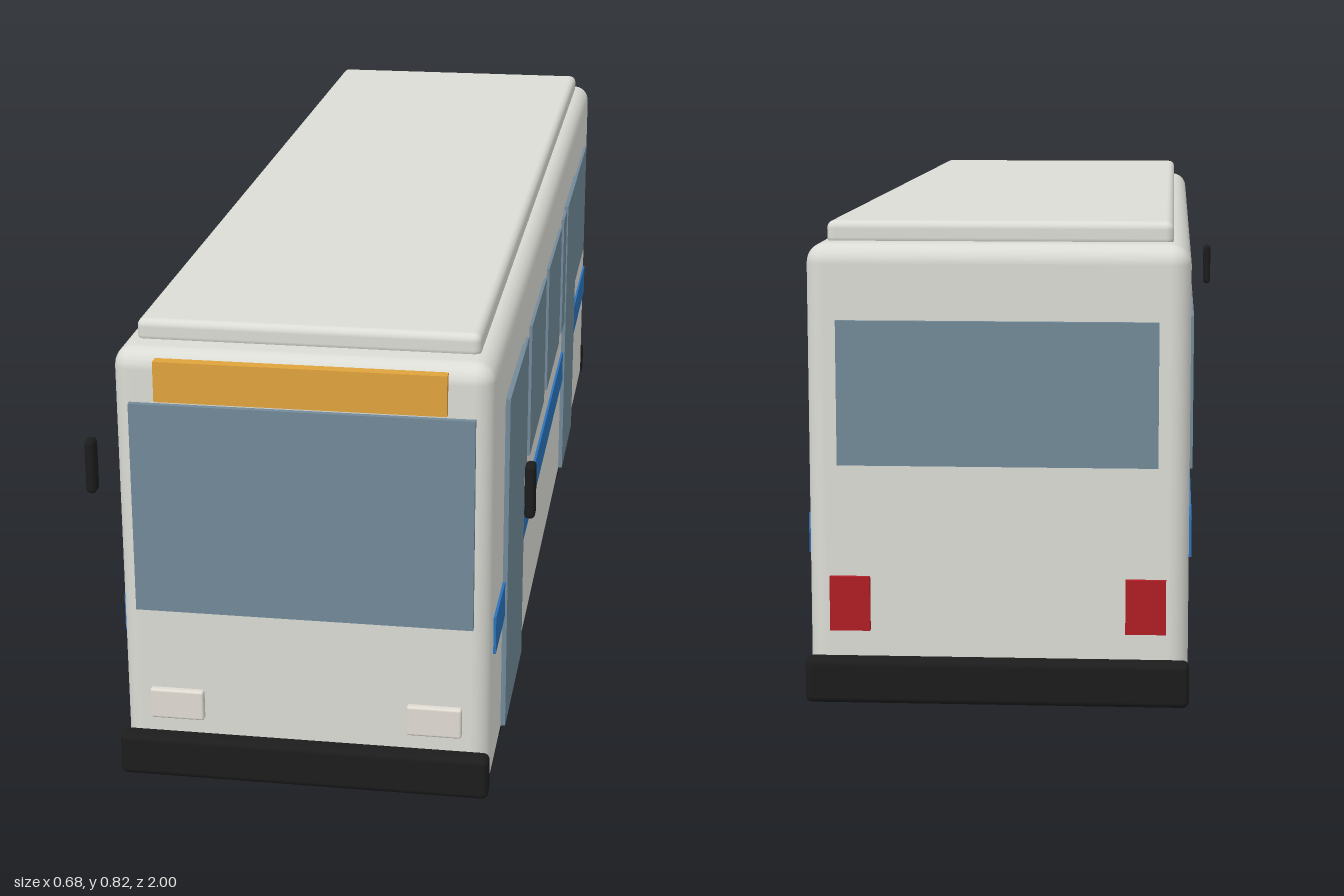
import * as THREE from 'three';
import { RoundedBoxGeometry } from 'three/addons/geometries/RoundedBoxGeometry.js';

const paint = (color) => new THREE.MeshStandardMaterial({ color });

export function createModel() {
  const bus = new THREE.Group();
  bus.name = 'bus';
  const white = paint(0xdcdcd6), glass = paint(0x728a98), blue = paint(0x2a72bb);
  const black = paint(0x1c1c1c), amber = paint(0xe0a33c), lamp = paint(0xe0dbd2);
  const red = paint(0xb01e24), metal = paint(0xa0a0a4);

  // Box given by its limits [min, max] on each axis, with optional rounded edges
  function block(name, mat, [x0, x1], [y0, y1], [z0, z1], r = 0) {
    const size = [x1 - x0, y1 - y0, z1 - z0];
    const geo = r ? new RoundedBoxGeometry(...size, 3, r) : new THREE.BoxGeometry(...size);
    const mesh = new THREE.Mesh(geo, mat);
    mesh.name = name;
    mesh.position.set((x0 + x1) / 2, (y0 + y1) / 2, (z0 + z1) / 2);
    bus.add(mesh);
    return mesh;
  }

  // Shell and roof panel
  block('body', white, [-0.283, 0.283], [0.097, 0.787], [-0.965, 0.965], 0.03);
  block('roofPanel', white, [-0.257, 0.257], [0.78, 0.817], [-0.912, 0.91], 0.012);

  // Front and rear fittings
  block('windshield', glass, [-0.257, 0.257], [0.375, 0.707], [0.955, 0.974]);
  block('destinationSign', amber, [-0.217, 0.216], [0.713, 0.775], [0.94, 0.977]);
  block('rearWindow', glass, [-0.237, 0.237], [0.46, 0.675], [-0.972, -0.955]);
  block('frontBumper', black, [-0.285, 0.285], [0.105, 0.173], [0.967, 1], 0.01);
  block('rearBumper', black, [-0.285, 0.285], [0.105, 0.173], [-1, -0.967], 0.01);

  // Sides: windows, stripe, mirrors and lamps
  for (const s of [1, -1]) {
    const span = (a, b) => (s > 0 ? [a, b] : [-b, -a]);
    for (let i = 0; i < 5; i++) {
      const z = -0.72 + i * 0.333;
      block('sideWindow', glass, span(0.27, 0.288), [0.44, 0.672], [z - 0.138, z + 0.138]);
    }
    block('stripe', blue, span(0.27, 0.287), [0.318, 0.378], [-0.925, 0.93]);
    block('mirror', black, span(0.325, 0.341), [0.54, 0.626], [0.903, 0.929], 0.007);
    block('headlight', lamp, span(0.157, 0.241), [0.193, 0.242], [0.955, 0.975], 0.004);
    block('tailLight', red, span(0.19, 0.25), [0.21, 0.292], [-0.973, -0.955]);
  }

  // Doors on one side only
  block('frontDoor', glass, [0.27, 0.2905], [0.128, 0.68], [0.535, 0.8]);
  block('rearDoor', glass, [0.27, 0.2905], [0.128, 0.68], [-0.565, -0.318]);

  // Wheels: revolved tyre around a recessed hub
  const tyreProfile = [
    [0.07, -0.035], [0.1, -0.035], [0.11, -0.031], [0.115, -0.022],
    [0.115, 0.022], [0.11, 0.031], [0.1, 0.035], [0.07, 0.035], [0.07, -0.035],
  ].map(([r, y]) => new THREE.Vector2(r, y));
  const tyreGeo = new THREE.LatheGeometry(tyreProfile, 40);
  const rimGeo = new THREE.CylinderGeometry(0.071, 0.071, 0.062, 32);
  const hubGeo = new THREE.CylinderGeometry(0.025, 0.03, 0.068, 20);
  for (const x of [-0.23, 0.23]) {
    for (const z of [0.6, -0.555]) {
      const wheel = new THREE.Group();
      wheel.name = 'wheel';
      for (const [name, geo, mat] of [['tyre', tyreGeo, black], ['rim', rimGeo, metal], ['hub', hubGeo, metal]]) {
        const mesh = new THREE.Mesh(geo, mat);
        mesh.name = name;
        wheel.add(mesh);
      }
      wheel.rotation.z = x > 0 ? -Math.PI / 2 : Math.PI / 2;
      wheel.position.set(x, 0.115, z);
      bus.add(wheel);
    }
  }
  return bus;
}
